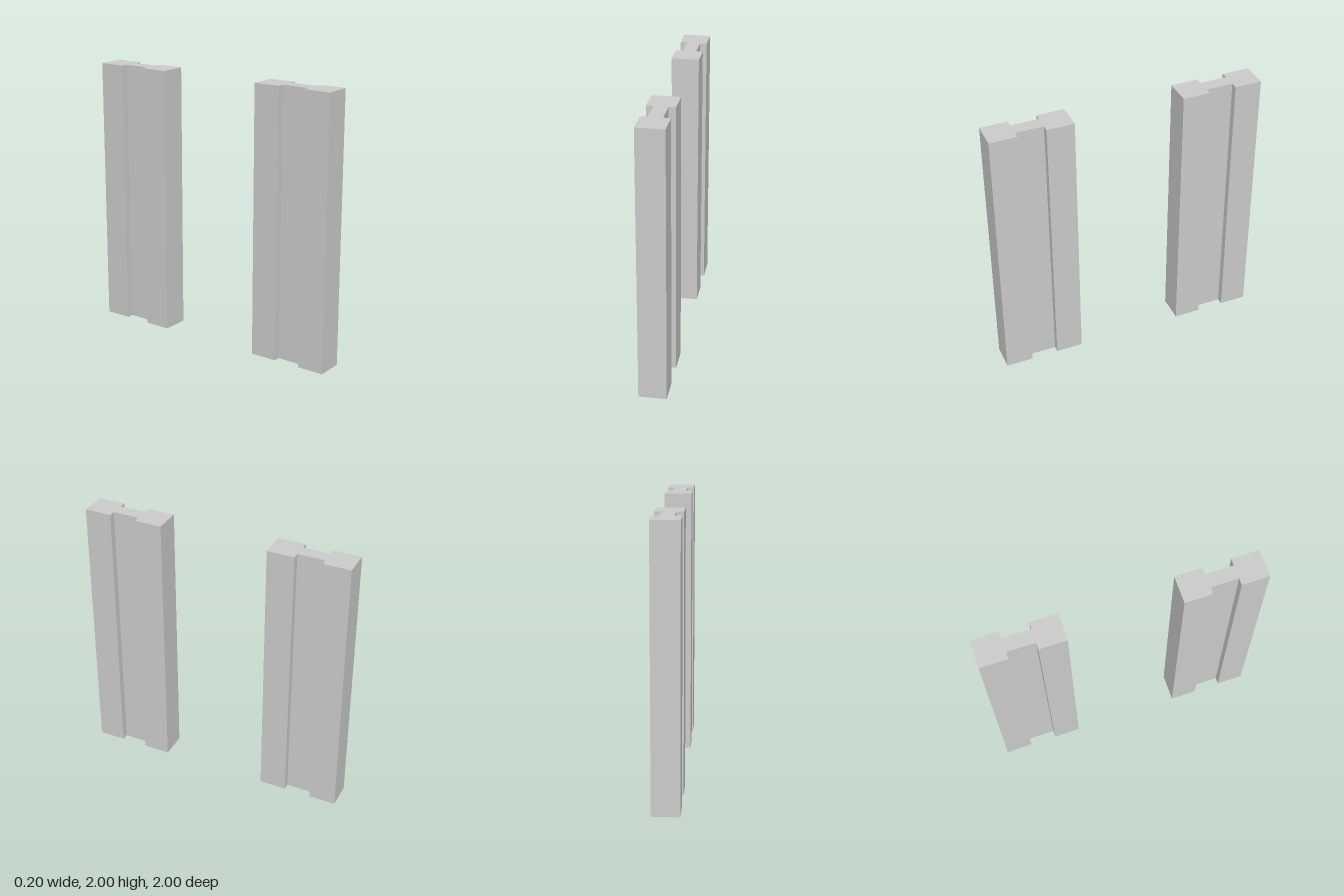
import * as THREE from 'three';

const HEIGHT = 2;
const FLANGE = 0.1; // half width of the thick ends
const WEB = 0.05; // half width of the grooved middle
const HALF_DEPTH = 0.3;
const HALF_GROOVE = 0.1;
const OFFSET = 0.7; // distance of each post from the centre

// H-shaped cross-section extruded upwards
function postGeometry() {
  const side = [
    [FLANGE, -HALF_DEPTH], [FLANGE, -HALF_GROOVE], [WEB, -HALF_GROOVE],
    [WEB, HALF_GROOVE], [FLANGE, HALF_GROOVE], [FLANGE, HALF_DEPTH],
  ];
  const outline = [...side, ...side.map(([x, y]) => [-x, -y])];
  const shape = new THREE.Shape(outline.map(([x, y]) => new THREE.Vector2(x, y)));
  return new THREE.ExtrudeGeometry(shape, { depth: HEIGHT, bevelEnabled: false })
    .rotateX(-Math.PI / 2);
}

export function createModel() {
  const group = new THREE.Group();
  group.name = 'groovedPosts';
  const material = new THREE.MeshStandardMaterial({ color: 0xcccccc, flatShading: true });
  const geometry = postGeometry();

  // Matching posts at front and back
  for (const [name, z] of [['frontPost', OFFSET], ['backPost', -OFFSET]]) {
    const post = new THREE.Mesh(geometry, material);
    post.name = name;
    post.position.z = z;
    group.add(post);
  }
  return group;
}
